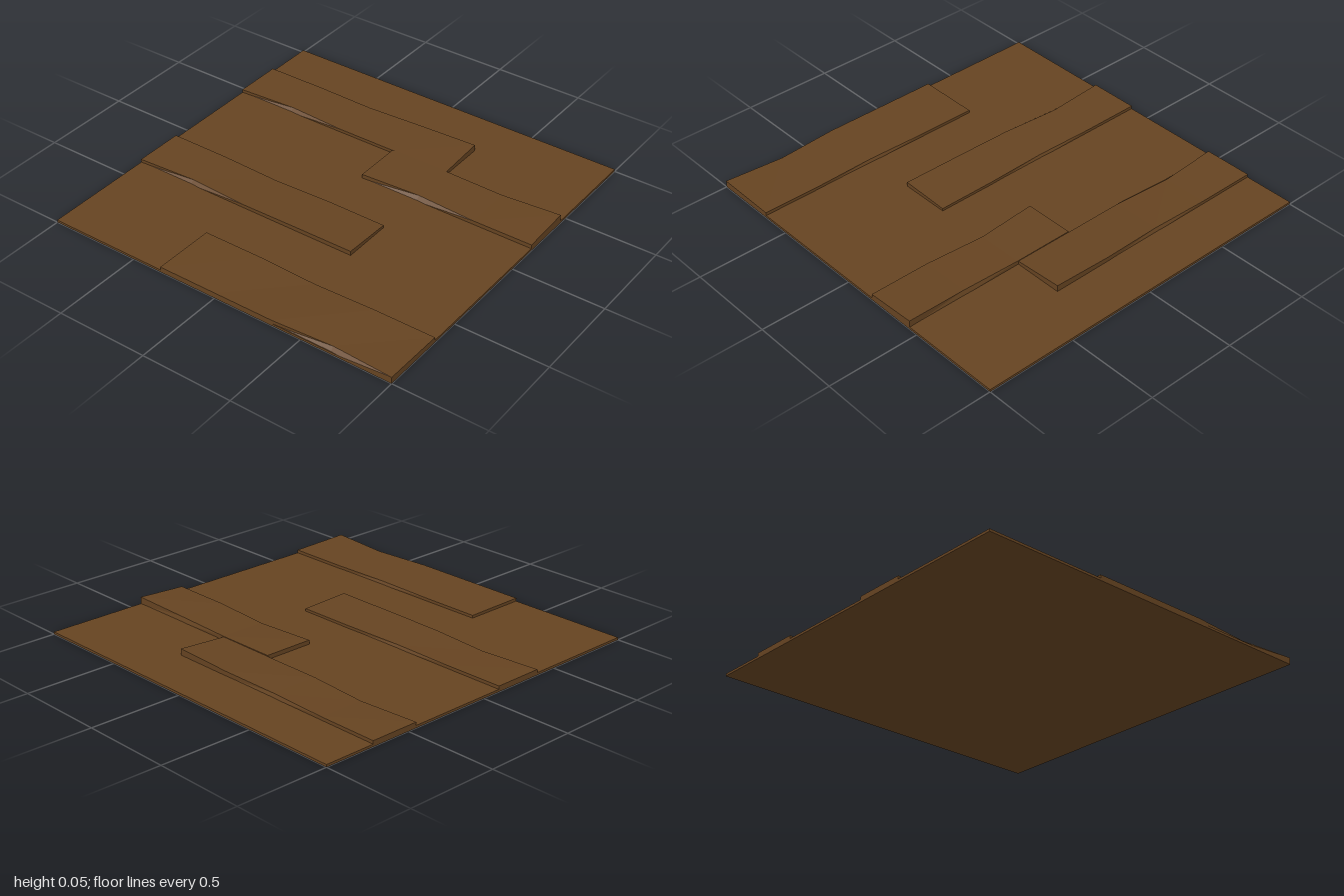
import * as THREE from 'three';

const wood = new THREE.MeshStandardMaterial({ color: 0x654321, flatShading: true });
const BASE = 0.013;

// Warped board: heights are the top edge at each third-of-a-unit station,
// and one station on each long side has its top edge pulled inward.
function board({ name, x, z, back, front, backDent, frontDent }) {
  const [x0, x1] = x, [z0, z1] = z, n = back.length - 1;
  const geo = new THREE.BoxGeometry(1, 1, 1, n, 1, 1);
  const p = geo.attributes.position;
  for (let i = 0; i < p.count; i++) {
    const s = Math.round((p.getX(i) + 0.5) * n);
    const top = p.getY(i) > 0, isFront = p.getZ(i) > 0;
    let pz = isFront ? z1 : z0;
    if (top && isFront && s === frontDent) pz -= 0.022;
    if (top && !isFront && s === backDent) pz += 0.01;
    const py = top ? (isFront ? front : back)[s] : BASE - 0.004;
    p.setXYZ(i, x0 + (x1 - x0) * s / n, py, pz);
  }
  geo.computeVertexNormals();
  const mesh = new THREE.Mesh(geo, wood);
  mesh.name = name;
  return mesh;
}

export function createModel() {
  const group = new THREE.Group();
  group.name = 'plankFloor';

  // Thin backing slab
  const slab = new THREE.Mesh(new THREE.BoxGeometry(2, BASE, 2), wood);
  slab.name = 'baseSlab';
  slab.position.y = BASE / 2;
  group.add(slab);

  // Raised boards, from back to front
  const boards = [
    { name: 'backLeftPlank', x: [-1, 0.33], z: [-0.72, -0.45], backDent: 2, frontDent: 1,
      back: [0.03, 0.03, 0.031, 0.037, 0.048], front: [0.03, 0.028, 0.03, 0.03, 0.031] },
    { name: 'backRightPlank', x: [0, 1], z: [-0.45, -0.175], backDent: 2, frontDent: 1,
      back: [0.035, 0.034, 0.036, 0.05], front: [0.035, 0.032, 0.034, 0.035] },
    { name: 'middlePlank', x: [-1, 0.33], z: [0.105, 0.38], backDent: 2, frontDent: 1,
      back: [0.03, 0.029, 0.027, 0.028, 0.027], front: [0.03, 0.028, 0.031, 0.035, 0.037] },
    { name: 'frontPlank', x: [-0.33, 1], z: [0.66, 1], backDent: 2, frontDent: 3,
      back: [0.028, 0.029, 0.028, 0.029, 0.03], front: [0.03, 0.031, 0.032, 0.031, 0.037] },
  ];
  for (const b of boards) group.add(board(b));
  return group;
}
